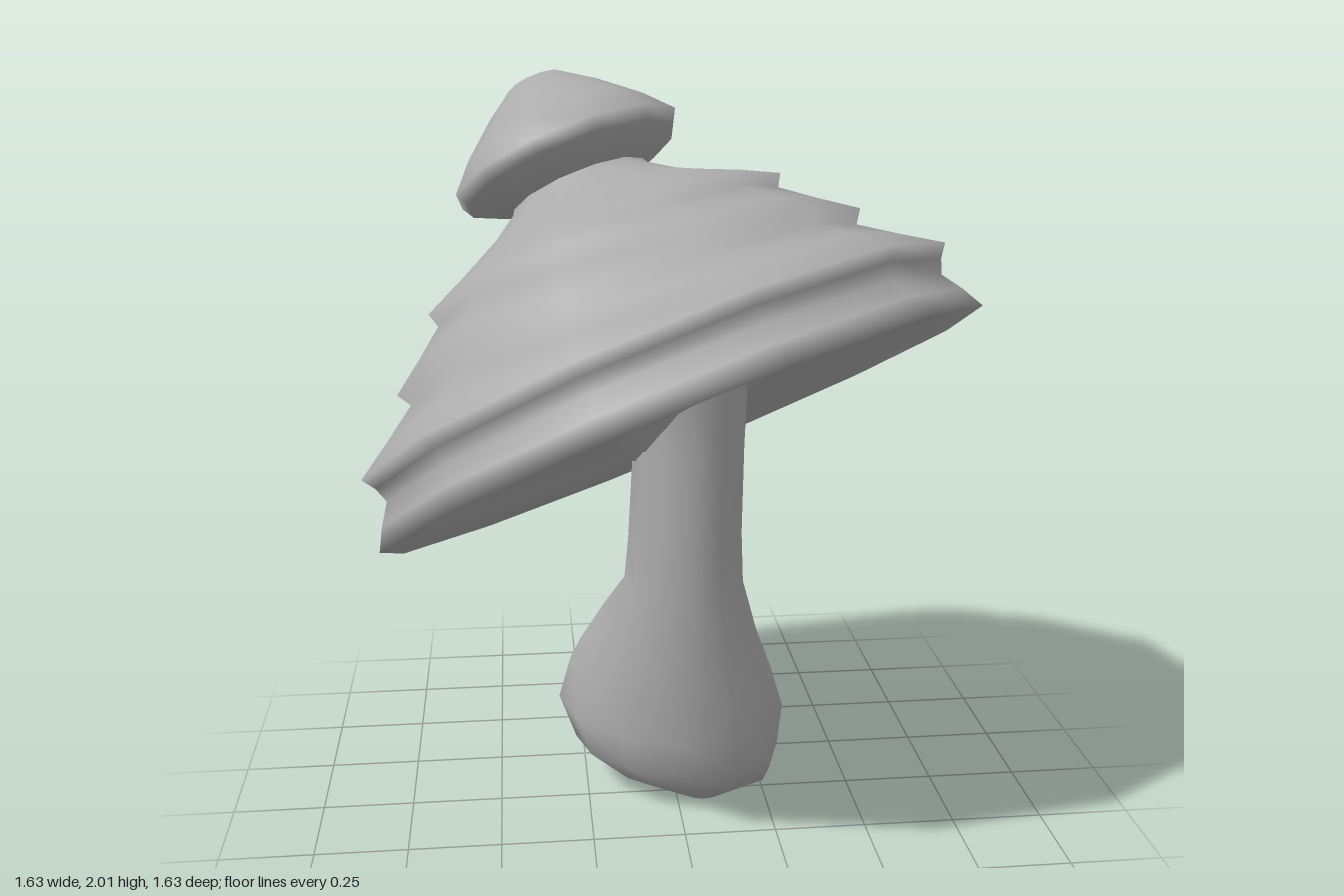
import * as THREE from 'three';
import { toCreasedNormals } from 'three/addons/utils/BufferGeometryUtils.js';

const SIDES = 12;
const material = new THREE.MeshStandardMaterial({ color: 0xacacac, side: THREE.DoubleSide });

// Smooth-shaded turned part
function turned(name, points) {
  const profile = points.map(([r, y]) => new THREE.Vector2(r, y));
  const mesh = new THREE.Mesh(new THREE.LatheGeometry(profile, SIDES), material);
  mesh.name = name;
  return mesh;
}

// Loft of oval rings: [y, xMin, xMax, zMin, zMax, skew]; skew stretches a ring along its x = z diagonal
function loft(name, rings) {
  const n = rings.length;
  const geo = new THREE.LatheGeometry(rings.map(([y]) => new THREE.Vector2(1, y)), SIDES);
  const pos = geo.attributes.position;
  for (let i = 0; i < pos.count; i++) {
    const [, x0, x1, z0, z1, skew] = rings[i % n];
    const s = pos.getX(i), c = pos.getZ(i);
    pos.setX(i, (x0 + x1) / 2 + s * (x1 - x0) / 2);
    pos.setZ(i, (z0 + z1) / 2 + (c * Math.cos(skew) + s * Math.sin(skew)) * (z1 - z0) / 2);
  }
  const mesh = new THREE.Mesh(toCreasedNormals(geo, 1.5), material);
  mesh.name = name;
  return mesh;
}

export function createModel() {
  const model = new THREE.Group();
  model.name = 'mushroom';

  // Stem with a lopsided bulb that swells toward the back
  model.add(loft('stem', [
    [0.0, 0.07, 0.07, 0.03, 0.03, 0],
    [0.005, 0.02, 0.13, -0.02, 0.07, 0],
    [0.06, -0.17, 0.27, -0.17, 0.13, 0.2],
    [0.13, -0.28, 0.295, -0.3, 0.175, 0.22],
    [0.23, -0.325, 0.315, -0.41, 0.185, 0.22],
    [0.35, -0.29, 0.28, -0.425, 0.2, 0.22],
    [0.5, -0.225, 0.225, -0.28, 0.205, 0.2],
    [0.66, -0.145, 0.18, -0.14, 0.21, 0.1],
    [0.8, -0.135, 0.175, -0.11, 0.21, 0],
    [1.05, -0.12, 0.18, -0.11, 0.2, 0],
    [1.25, -0.14, 0.19, -0.13, 0.2, 0],
  ]));

  // Cap, leaning toward the back and one side
  const cap = new THREE.Group();
  cap.name = 'cap';
  cap.position.set(0.01, 1.08, 0.01);
  cap.rotation.order = 'YXZ';
  cap.rotation.set(-THREE.MathUtils.degToRad(29.5), Math.PI / 4, 0);

  // Shallow underside with a collar round the stem, then overhanging tiers
  cap.add(turned('capTiers', [
    [0.15, -0.03], [0.21, 0.03], [0.32, 0.06], [0.5, 0.05], [0.74, 0.02],
    [0.86, -0.01], [0.83, 0.05], [0.795, 0.105], [0.81, 0.145], [0.835, 0.178],
    [0.74, 0.245], [0.645, 0.315], [0.67, 0.35],
    [0.58, 0.42], [0.495, 0.49], [0.515, 0.522],
    [0.39, 0.585], [0.27, 0.65], [0.2, 0.7], [0.18, 0.735],
  ]));

  // Pointed knob at the tip
  cap.add(turned('knob', [
    [0.18, 0.71], [0.235, 0.73], [0.305, 0.765], [0.325, 0.8],
    [0.26, 0.875], [0.16, 0.965], [0.08, 1.025], [0, 1.04],
  ]));
  model.add(cap);

  return model;
}
